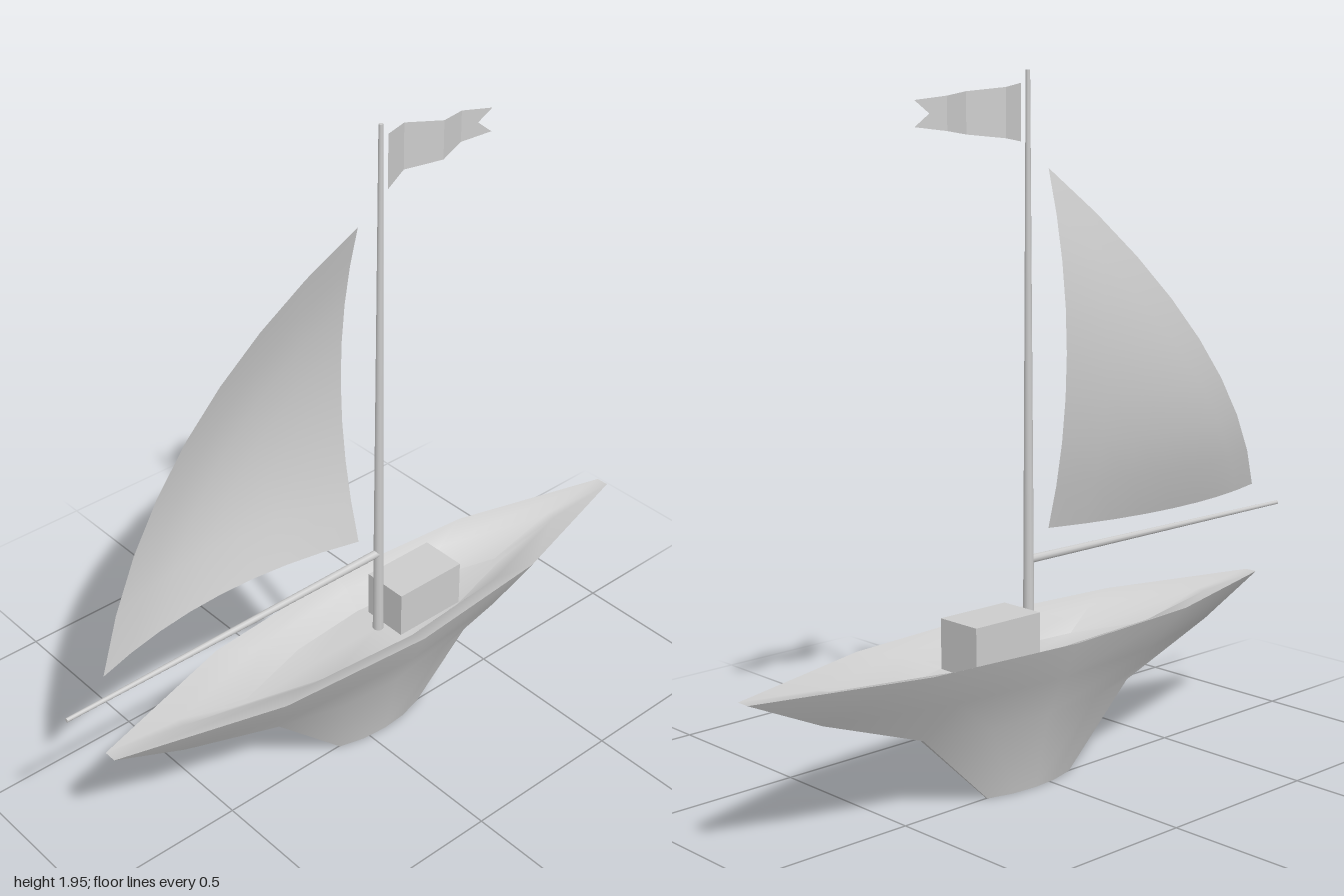
import * as THREE from 'three';
import { toCreasedNormals } from 'three/addons/utils/BufferGeometryUtils.js';

const MAST_Z = -0.055;

function material(options = {}) {
  return new THREE.MeshStandardMaterial({ color: 0xcccccc, ...options });
}

function add(group, name, geometry, mat = material()) {
  const mesh = new THREE.Mesh(geometry, mat);
  mesh.name = name;
  group.add(mesh);
  return mesh;
}

// Skin a list of equally long rows of [x, y, z] points
function skin(rows, closed = false) {
  const n = rows[0].length;
  const index = [];
  for (let i = 0; i < rows.length - 1; i++) {
    for (let j = 0; j < (closed ? n : n - 1); j++) {
      const k = (j + 1) % n;
      const a = i * n + j, b = i * n + k, c = b + n, d = a + n;
      index.push(a, b, c, a, c, d);
    }
  }
  const geometry = new THREE.BufferGeometry();
  geometry.setAttribute('position', new THREE.Float32BufferAttribute(rows.flat(2), 3));
  geometry.setIndex(index);
  geometry.computeVertexNormals();
  return geometry;
}

// Boat-shaped ring: five stations down one side, five back along the other
function hullRing([y, halfWidth, halfLength]) {
  const side = [[1, 0.1], [0.5, 0.8], [0, 1], [-0.5, 0.8], [-1, 0.1]];
  const point = (s) => ([u, w]) => [s * w * halfWidth, y, -0.058 + u * halfLength];
  return [...side.map(point(1)), ...side.slice().reverse().map(point(-1))];
}

// Three-cornered sail, every edge and the middle bellied towards -x
function sailGeometry(n = 8) {
  const positions = [], index = [], start = [];
  for (let i = 0; i <= n; i++) {
    start.push(positions.length / 3);
    for (let j = 0; j <= n - i; j++) {
      const head = i / n, clew = j / n, tack = 1 - head - clew;
      positions.push(
        -0.28 * head * tack - 0.27 * tack * clew - 0.46 * head * clew - 0.7 * head * tack * clew,
        0.715 + 0.975 * head,
        0.02 + 0.86 * clew + 0.2 * head * clew
      );
    }
  }
  for (let i = 0; i < n; i++) {
    for (let j = 0; j < n - i; j++) {
      const a = start[i] + j, b = start[i + 1] + j;
      index.push(a, a + 1, b);
      if (j < n - i - 1) index.push(a + 1, b + 1, b);
    }
  }
  const geometry = new THREE.BufferGeometry();
  geometry.setAttribute('position', new THREE.Float32BufferAttribute(positions, 3));
  geometry.setIndex(index);
  geometry.computeVertexNormals();
  return geometry;
}

export function createModel() {
  const boat = new THREE.Group();
  boat.name = 'sailboat';

  // Hull: keel bottom, outer skin, sloping rim, sunken cockpit floor
  const rings = [
    [0, 0, 0.155],
    [0, 0.03, 0.155],
    [0.22, 0.08, 0.385],
    [0.34, 0.145, 0.715],
    [0.445, 0.193, 0.942],
    [0.425, 0.14, 0.71],
    [0.37, 0.095, 0.48],
    [0.37, 0, 0.48],
  ].map(hullRing);
  add(boat, 'hull', toCreasedNormals(skin(rings, true), 0.7), material({ side: THREE.DoubleSide }));

  // Cabin standing on the cockpit floor
  add(boat, 'cabin', new THREE.BoxGeometry(0.14, 0.145, 0.23)).position.set(0, 0.4375, -0.195);

  // Tapered mast and boom
  add(boat, 'mast', new THREE.CylinderGeometry(0.006, 0.016, 1.58, 10)).position.set(0, 1.155, MAST_Z);
  const boom = add(boat, 'boom', new THREE.CylinderGeometry(0.006, 0.012, 1.05, 10));
  boom.rotation.x = Math.PI / 2;
  boom.position.set(0, 0.64, 0.475);

  // Mainsail
  add(boat, 'sail', sailGeometry(), material({ side: THREE.DoubleSide }));

  // Swallow-tailed pennant with zigzag folds; columns are [x, z]
  const columns = [[0, -0.08], [-0.04, -0.17], [0, -0.27], [-0.03, -0.36], [-0.008, -0.448]];
  const rows = [-1, 0, 1].map((side) => columns.map(([x, z], i) => {
    const notch = i === 4 && side === 0;
    const height = 0.075 - 0.0105 * i;
    return [notch ? -0.018 : x, 1.836 + side * height, notch ? -0.408 : z];
  }));
  add(boat, 'pennant', skin(rows), material({ side: THREE.DoubleSide, flatShading: true }));

  return boat;
}
